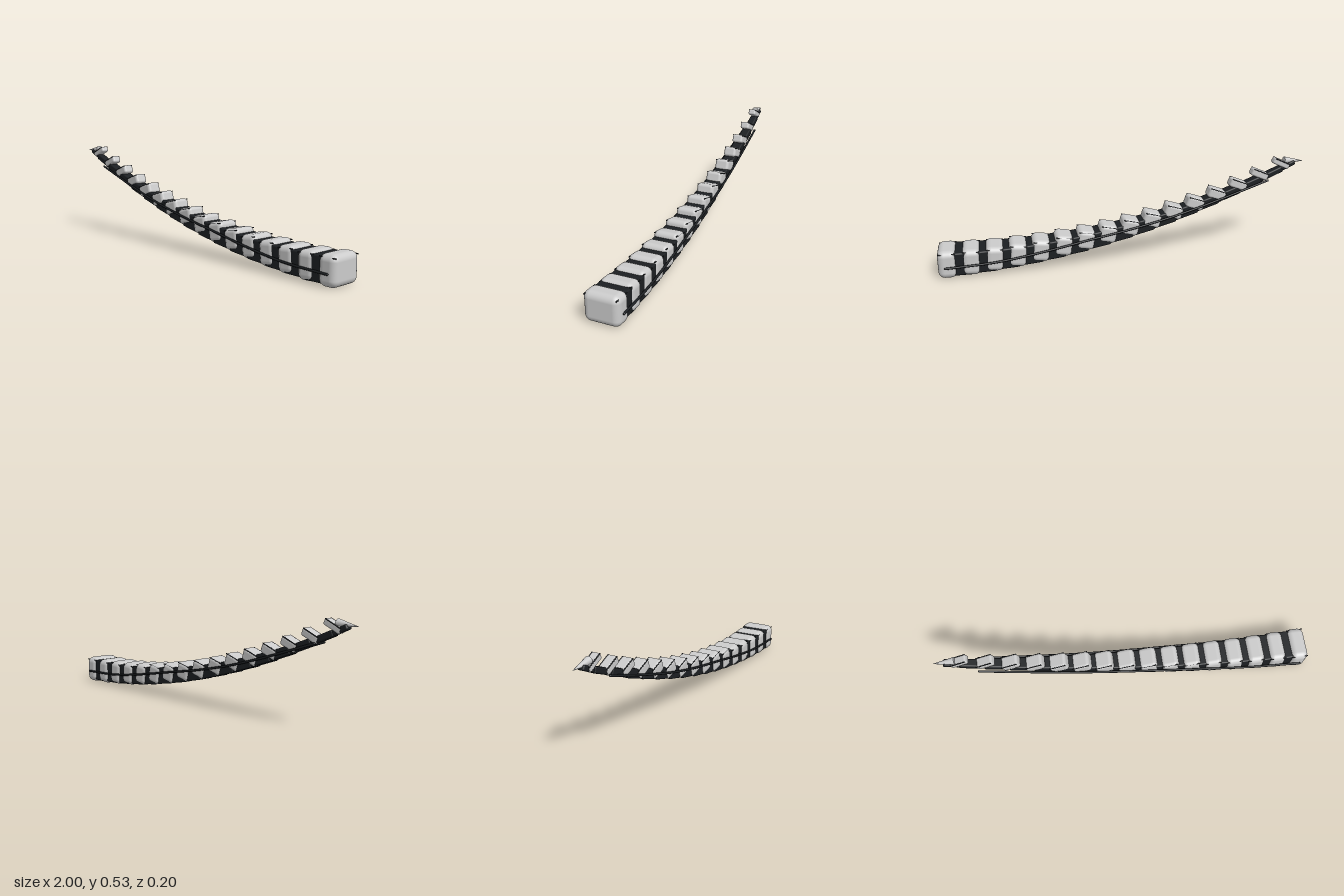
import * as THREE from 'three';
import { RoundedBoxGeometry } from 'three/addons/geometries/RoundedBoxGeometry.js';

const COUNT = 16;
const lerp = THREE.MathUtils.lerp;

// Tail measures as a function of t: 0 at the root, 1 at the last segment
const xAt = t => lerp(0.95, -0.867, t);
const yAt = t => 0.076 + 0.419 * t * t;
const heightAt = t => lerp(0.151, 0.033, t);
const depthAt = t => lerp(0.184, 0.045, t);
const tiltAt = t => Math.atan(0.838 * t / 1.817);
const coreY = t => yAt(t) - 0.032 * t;

export function createModel() {
  const grey = new THREE.MeshStandardMaterial({ color: 0xcccccc });
  const dark = new THREE.MeshStandardMaterial({ color: 0x1c1f22 });
  const model = new THREE.Group();
  model.name = 'segmentedTail';

  const add = (parent, name, geometry, material, x = 0, y = 0, z = 0) => {
    const mesh = new THREE.Mesh(geometry, material);
    mesh.name = name;
    mesh.position.set(x, y, z);
    parent.add(mesh);
    return mesh;
  };

  for (let i = 0; i < COUNT; i++) {
    const t = i / (COUNT - 1);
    const h = heightAt(t), d = depthAt(t);

    // Rounded armour segment, tipped up toward the root
    const segment = new THREE.Group();
    segment.name = 'segment';
    segment.position.set(xAt(t), yAt(t), 0);
    segment.rotation.z = tiltAt(t);
    add(segment, 'shell', new RoundedBoxGeometry(0.098, h, d, 4, lerp(0.034, 0.01, t)), grey);

    // Thin rods along the upper edges
    for (const side of [-1, 1]) {
      const rod = add(segment, 'edgeRod', new THREE.CylinderGeometry(0.003, 0.003, 0.09, 8), dark,
        0, h * 0.4, side * d * 0.44);
      rod.rotation.z = Math.PI / 2;
    }
    model.add(segment);

    // Dark flexible joint leading to the next segment
    const t2 = i < COUNT - 1 ? (i + 1) / (COUNT - 1) : 1.04;
    const tm = (t + t2) / 2;
    const dx = xAt(t2) - xAt(t), dy = coreY(t2) - coreY(t);
    const joint = add(model, 'joint',
      new RoundedBoxGeometry(Math.hypot(dx, dy) + 0.012, heightAt(tm) * 0.86, depthAt(tm) * 0.9, 2, 0.008),
      dark, (xAt(t) + xAt(t2)) / 2, coreY(tm), 0);
    joint.rotation.z = Math.atan2(-dy, -dx);
  }

  // Pointed tip
  const tip = add(model, 'tip', new THREE.ConeGeometry(0.02, 0.115, 16), grey, -0.943, 0.505, 0);
  tip.rotation.z = Math.PI / 2 + 0.08;

  // Side cables running from the root almost to the tip
  const path = [[0.96, 0.065, 0.096], [0.7, 0.075, 0.087], [0.46, 0.107, 0.078], [0.22, 0.15, 0.07],
    [-0.02, 0.193, 0.062], [-0.26, 0.247, 0.054], [-0.5, 0.317, 0.046], [-0.785, 0.41, 0.036]];
  for (const side of [-1, 1]) {
    const curve = new THREE.CatmullRomCurve3(path.map(([x, y, z]) => new THREE.Vector3(x, y, side * z)));
    const name = side > 0 ? 'frontCable' : 'backCable';
    add(model, name, new THREE.TubeGeometry(curve, 60, 0.006, 10), dark);
    for (const end of [0, 1]) {
      const p = curve.getPoint(end);
      add(model, 'cableEnd', new THREE.SphereGeometry(0.006, 10, 8), dark, p.x, p.y, p.z);
    }
  }
  return model;
}
